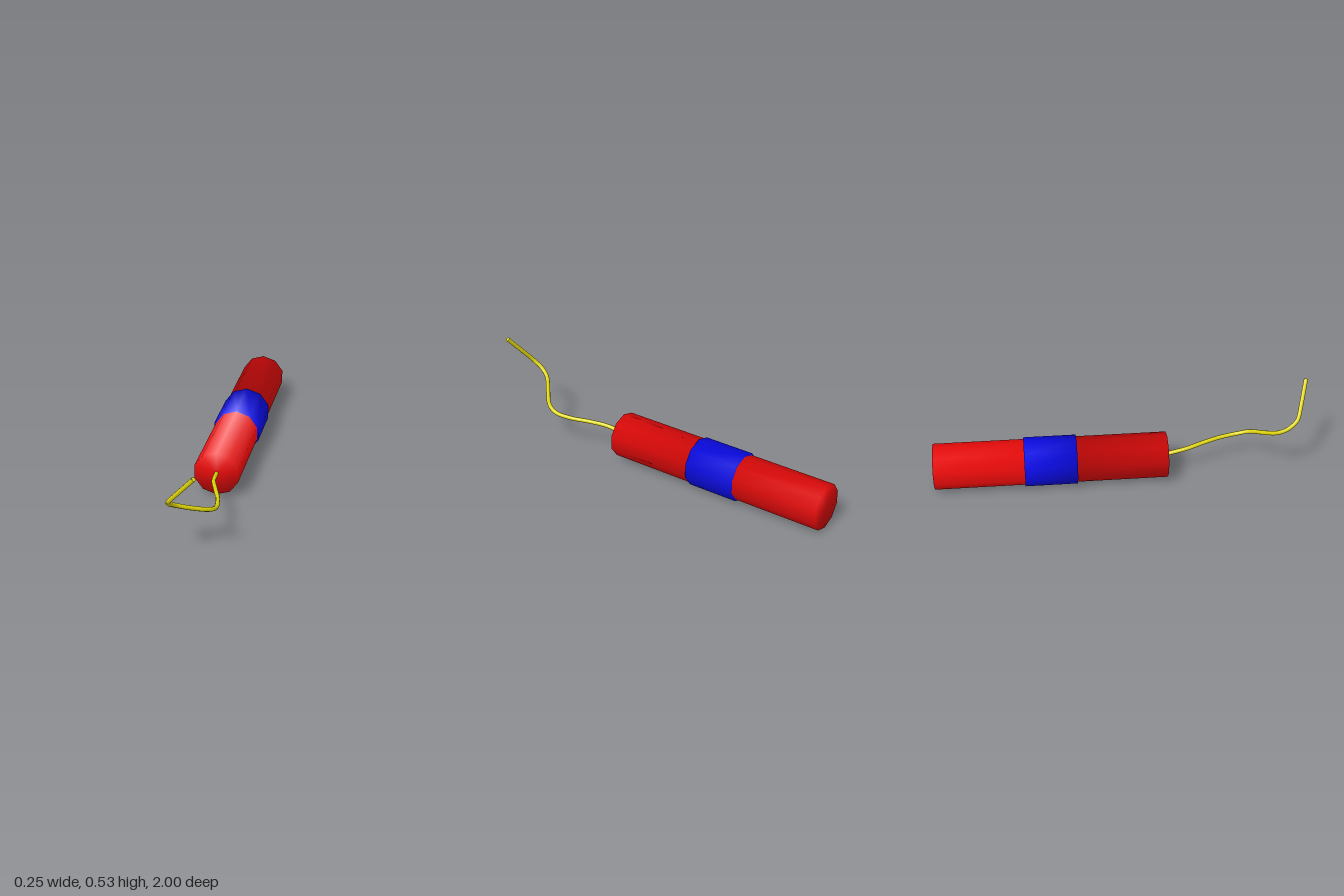
import * as THREE from 'three';

const SIDES = 10;
const AXIS_Y = 0.131;

// Cross-sections from front to back: [z, radius, normal tilt along z in degrees]
const RINGS = [
  [0.245, 0, 90],
  [0.245, 0.122, 40],
  [-0.24, 0.122, 52],
  [-0.24, 0.131, 40],
  [-0.52, 0.131, -40],
  [-0.52, 0.122, -52],
  [-1, 0.122, -40],
  [-1, 0, -90],
];

// Smooth ten-sided skin through the given rings
function loft(rings) {
  const positions = [], normals = [], index = [];
  const row = SIDES + 1;
  rings.forEach(([z, r, tilt], k) => {
    const t = THREE.MathUtils.degToRad(tilt);
    for (let i = 0; i <= SIDES; i++) {
      const a = (i / SIDES) * Math.PI * 2;
      positions.push(r * Math.sin(a), r * Math.cos(a), z);
      normals.push(Math.cos(t) * Math.sin(a), Math.cos(t) * Math.cos(a), Math.sin(t));
      if (k < rings.length - 1 && i < SIDES) {
        const f = k * row + i, b = f + row;
        if (r > 0) index.push(f, f + 1, b);
        if (rings[k + 1][1] > 0) index.push(f + 1, b + 1, b);
      }
    }
  });
  const geometry = new THREE.BufferGeometry();
  geometry.setAttribute('position', new THREE.Float32BufferAttribute(positions, 3));
  geometry.setAttribute('normal', new THREE.Float32BufferAttribute(normals, 3));
  geometry.setIndex(index);
  return geometry;
}

export function createModel() {
  const red = new THREE.MeshStandardMaterial({ name: 'red casing', color: 0xe60a0a });
  const blue = new THREE.MeshStandardMaterial({ name: 'blue band', color: 0x0a0ae6 });
  const yellow = new THREE.MeshStandardMaterial({ name: 'yellow cord', color: 0xe0d60a });

  const group = new THREE.Group();
  group.name = 'firecracker';
  const add = (name, geometry, material) => {
    const mesh = new THREE.Mesh(geometry, material);
    mesh.name = name;
    group.add(mesh);
    return mesh;
  };

  // Casing halves and the raised band between them
  add('frontCasing', loft(RINGS.slice(0, 3)), red).position.y = AXIS_Y;
  add('band', loft(RINGS.slice(2, 6)), blue).position.y = AXIS_Y;
  add('backCasing', loft(RINGS.slice(5)), red).position.y = AXIS_Y;

  // Winding fuse, ending in a straight upturned tip
  const path = new THREE.CatmullRomCurve3([
    [0, 0.131, 0.235], [0.012, 0.151, 0.35], [0.045, 0.162, 0.45],
    [0.08, 0.167, 0.55], [0.093, 0.176, 0.645], [0.075, 0.198, 0.705],
    [0, 0.238, 0.775], [-0.06, 0.277, 0.83], [-0.078, 0.312, 0.88],
    [-0.066, 0.352, 0.926], [-0.056, 0.368, 0.935], [0.005, 0.443, 0.961],
    [0.072, 0.524, 0.988],
  ].map((p) => new THREE.Vector3(...p)));
  const fuseRadius = 0.0115;
  add('fuse', new THREE.TubeGeometry(path, 60, fuseRadius, 8), yellow);

  // Flat end of the fuse
  const tip = add('fuseTip', new THREE.CircleGeometry(fuseRadius, 8), yellow);
  tip.position.copy(path.getPoint(1));
  tip.quaternion.setFromUnitVectors(new THREE.Vector3(0, 0, 1), path.getTangent(1));

  return group;
}
